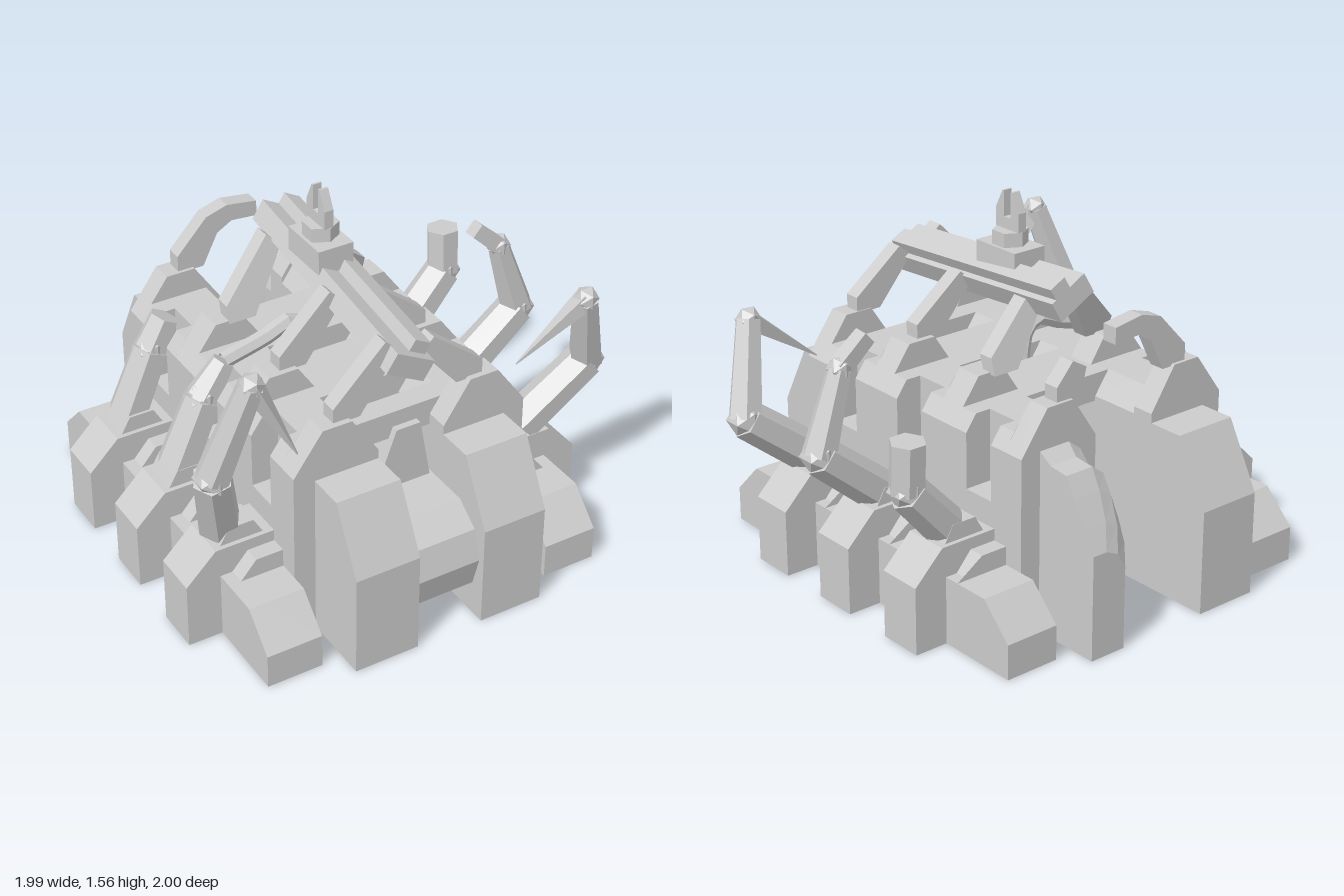
import * as THREE from 'three';

const MID = -0.077; // hull mirror plane
const mat = new THREE.MeshStandardMaterial({ color: 0xcccccc, flatShading: true });
const shellMat = new THREE.MeshStandardMaterial({ color: 0xcccccc, flatShading: true, side: THREE.DoubleSide });

export function createModel() {
  const model = new THREE.Group();

  const add = (name, geo, material = mat) => {
    const mesh = new THREE.Mesh(geo, material);
    mesh.name = name;
    model.add(mesh);
    return mesh;
  };
  const extrude = (pts, depth) => new THREE.ExtrudeGeometry(
    new THREE.Shape(pts.map(p => new THREE.Vector2(p[0], p[1]))), { depth, bevelEnabled: false });
  // Profile in (z, y), extruded across x
  const alongX = (name, pts, x0, x1) =>
    add(name, extrude(pts.map(([z, y]) => [-z, y]), x1 - x0).rotateY(Math.PI / 2).translate(x0, 0, 0));
  // Open-bottomed skin through sections [z, [(u, y)...]], u measured outward on side s
  const shell = (name, s, sections) => {
    const pos = [], index = [], n = sections[0][1].length;
    for (const [z, pts] of sections) for (const [u, y] of pts) pos.push(MID + s * u, y, z);
    for (let i = 0; i < sections.length - 1; i++) {
      for (let j = 0; j < n - 1; j++) {
        const a = i * n + j, b = a + 1, c = a + n, d = c + 1;
        if (s > 0) index.push(a, c, b, b, c, d);
        else index.push(a, b, c, b, d, c);
      }
    }
    const geo = new THREE.BufferGeometry();
    geo.setAttribute('position', new THREE.Float32BufferAttribute(pos, 3));
    geo.setIndex(index);
    const flat = geo.toNonIndexed();
    flat.computeVertexNormals();
    add(name, flat, shellMat);
  };
  const ground = pts => pts.map(([u]) => [u, 0]);
  // Tapered prism between two points
  const limb = (name, a, b, r0, r1, sides = 6) => {
    const A = new THREE.Vector3(...a), B = new THREE.Vector3(...b), d = B.clone().sub(A);
    const mesh = add(name, new THREE.CylinderGeometry(r1, r0, d.length(), sides).rotateY(Math.PI / sides));
    mesh.position.copy(A).add(B).multiplyScalar(0.5);
    mesh.quaternion.setFromUnitVectors(new THREE.Vector3(0, 1, 0), d.normalize());
  };

  const bayZ = [-0.43, 0, 0.43];
  const ribZ = [[-0.69, -0.59], [-0.28, -0.16], [0.16, 0.28], [0.59, 0.69]];

  // Hull sections
  const tall = [[0.15, 0], [0.15, 0.77], [0.27, 0.95], [0.40, 0.95], [0.53, 0.77], [0.53, 0.6], [0.53, 0]];
  const pilaster = [[0.15, 0], [0.15, 0.74], [0.22, 0.84], [0.48, 0.84], [0.53, 0.77], [0.53, 0.5], [0.53, 0]];
  const bay = [[0.15, 0], [0.15, 0.74], [0.22, 0.84], [0.41, 0.84], [0.41, 0.53], [0.53, 0.53], [0.53, 0]];
  const block = h => [[0.15, 0], [0.15, h], [0.17, h], [0.41, h], [0.436, h], [0.436, h / 2], [0.436, 0]];
  const bulge = (u, h) => [[u, 0], [u, h * 0.78], [u + 0.04, h * 0.94], [u + 0.1, h], [0.436, h], [0.436, h / 2], [0.436, 0]];

  // Skirt sections
  const low = h => [[0.53, 0], [0.53, h], [0.70, h], [0.773, h], [0.773, h / 2], [0.773, 0]];
  const step = [[0.53, 0], [0.53, 0.37], [0.65, 0.37], [0.72, 0.29], [0.773, 0.29], [0.773, 0]];
  const rib = [[0.53, 0], [0.53, 0.42], [0.79, 0.42], [0.923, 0.29], [0.923, 0.15], [0.923, 0]];

  for (const s of [1, -1]) {
    // Hull skin: rear block (bulged on the +x side), ribs and bays, front block
    const rearEnd = s > 0
      ? [[-1, ground(bulge(0.27, 0.45))], [-1, bulge(0.27, 0.45)], [-0.95, bulge(0.23, 0.545)],
        [-0.89, bulge(0.21, 0.65)], [-0.84, bulge(0.205, 0.73)], [-0.75, bulge(0.205, 0.74)], [-0.69, bulge(0.19, 0.78)]]
      : [[-1, ground(block(0.45))], [-1, block(0.45)], [-0.85, block(0.73)], [-0.69, block(0.73)]];
    const hull = [...rearEnd];
    ribZ.forEach(([z0, z1], i) => {
      hull.push([z0, tall], [z1, tall]);
      if (i < 3) {
        const end = ribZ[i + 1][0];
        hull.push([z1, pilaster], [z1 + 0.08, pilaster], [z1 + 0.08, bay],
          [end - 0.08, bay], [end - 0.08, pilaster], [end, pilaster]);
      }
    });
    hull.push([0.69, block(0.73)], [0.85, block(0.73)], [1, block(0.45)], [1, ground(block(0.45))]);
    shell('hull', s, hull);

    // Side skirt with stepped ribs
    const skirt = [[-0.9, ground(low(0.15))], [-0.9, low(0.15)], [-0.76, low(0.29)]];
    for (const z of bayZ)
      skirt.push([z - 0.17, low(0.29)], [z - 0.17, step], [z - 0.1, step], [z - 0.1, rib],
        [z + 0.1, rib], [z + 0.1, step], [z + 0.17, step], [z + 0.17, low(0.29)]);
    skirt.push([0.76, low(0.29)], [0.9, low(0.15)], [0.9, ground(low(0.15))]);
    shell('skirt', s, skirt);

    // Arm pedestals
    for (const z of bayZ)
      add('armPedestal', extrude([[0.57, 0.42], [0.76, 0.42], [0.72, 0.49], [0.61, 0.49]]
        .map(([u, y]) => [MID + s * u, y]), 0.16).translate(0, 0, z - 0.08));

    // Rafters to the ridge; the rear pair is a bent finger and a broken stub, one pair is skewed
    const peak = s > 0 ? 1.19 : 1.24;
    const rafter = [[0.34, 0.94], [0.34, 1.01], [0.11, peak], [0.05, peak - 0.05], [0.22, 0.94]];
    const finger = [[0.34, 0.94], [0.34, 1.02], [0.2, 1.17], [0.1, 1.2], [-0.04, 1.18], [-0.04, 1.11],
      [0.08, 1.12], [0.15, 1.08], [0.22, 0.94]];
    const stub = [[0.34, 0.94], [0.34, 1.01], [0.26, 1.1], [0.19, 1.06], [0.22, 0.94]];
    for (const z of [-0.64, -0.22, 0.22, 0.63]) {
      const pts = z !== -0.64 ? rafter : s < 0 ? finger : stub;
      const geo = extrude(pts.map(([u, y]) => [MID + s * u, y]), 0.07).translate(0, 0, z - 0.035);
      if (z === -0.22) {
        const p = geo.attributes.position;
        for (let i = 0; i < p.count; i++) p.setZ(i, p.getZ(i) - 0.01 + s * (p.getY(i) - 1.07) * 0.33);
        geo.computeVertexNormals();
      }
      add('rafter', geo);
    }
  }

  // Faceted nose between the hull halves, with a wall above it
  alongX('nose', [[0.5, 0.09], [0.82, 0.09], [0.93, 0.15], [0.97, 0.29], [0.93, 0.42], [0.82, 0.5], [0.5, 0.5]],
    -0.227, 0.073);
  add('frontWedge', extrude([[-0.2, 0.5], [0.06, 0.5], [0.01, 0.77], [-0.1, 0.77]], 0.1).translate(0, 0, 0.52));

  // Roof bridges, leaving open shafts between them
  for (const [z0, z1] of [[-0.36, -0.06], [0.06, 0.36], [0.49, 0.59]])
    add('roofBridge', extrude([[-0.227, 0.72], [0.073, 0.72], [0.073, 0.74], [0.143, 0.84], [-0.297, 0.84],
      [-0.227, 0.74]], z1 - z0).translate(0, 0, z0));

  // Sloping ridge beam, rolled about its length
  const beam = new THREE.Group();
  beam.name = 'ridgeBeam';
  for (const [name, w, h, len, x, y, z] of [
    ['beamBody', 0.19, 0.095, 1.13, 0, 0, 0], ['beamRail', 0.08, 0.06, 1.09, 0.03, 0.07, -0.02]]) {
    const m = new THREE.Mesh(new THREE.BoxGeometry(w, h, len), mat);
    m.name = name;
    m.position.set(x, y, z);
    beam.add(m);
  }
  beam.position.set(-0.08, 1.175, 0.155);
  beam.rotation.set(0.085, -0.045, -0.49);
  model.add(beam);

  // Turret and fork on the ridge
  add('turretBase', new THREE.BoxGeometry(0.16, 0.11, 0.24).translate(MID, 1.285, 0));
  add('turretCap', new THREE.CylinderGeometry(0.075, 0.075, 0.06, 6).translate(MID, 1.37, 0));
  alongX('fork', [[-0.07, 1.4], [-0.07, 1.48], [-0.03, 1.56], [-0.02, 1.56], [-0.02, 1.45],
    [0.02, 1.45], [0.02, 1.56], [0.03, 1.56], [0.07, 1.48], [0.07, 1.4]], -0.1, -0.06);

  // Jointed arms: list of joints, upper-arm end radius and tip radius
  const arms = [
    { pts: [[0.61, 0.44, 0.45], [0.92, 0.68, 0.48], [0.82, 1.06, 0.58], [0.51, 0.83, 0.55]], r: 0.055, tip: 0.003 },
    { pts: [[0.61, 0.44, 0], [0.9, 0.68, 0], [0.79, 1.02, 0], [0.67, 1.13, -0.01]], r: 0.05, tip: 0.045 },
    { pts: [[0.61, 0.44, -0.43], [0.81, 0.66, -0.44], [0.81, 0.87, -0.45]], r: 0.075 },
    { pts: [[-0.79, 0.45, 0.42], [-0.87, 0.78, 0.53], [-0.73, 1.2, 0.6], [-0.57, 0.86, 0.66]], r: 0.055, tip: 0.003 },
    { pts: [[-0.76, 0.46, 0], [-0.63, 0.75, 0], [-0.53, 0.89, 0]], r: 0.05 },
    { pts: [[-0.76, 0.46, -0.44], [-0.64, 0.74, -0.44], [-0.57, 0.87, -0.44]], r: 0.065 }
  ];
  for (const { pts, r, tip } of arms) {
    limb('lowerArm', pts[0], pts[1], 0.09, 0.082);
    limb('upperArm', pts[1], pts[2], 0.075, r);
    add('elbow', new THREE.IcosahedronGeometry(0.08, 0).translate(...pts[1]));
    if (pts[3]) {
      add('wrist', new THREE.IcosahedronGeometry(0.055, 0).translate(...pts[2]));
      limb('claw', pts[2], pts[3], 0.05, tip, 4);
    }
  }

  // Hooked claw of the middle -x arm
  const path = new THREE.CatmullRomCurve3([[-0.53, 0.89, 0], [-0.33, 0.94, 0], [-0.22, 0.98, 0],
    [-0.16, 0.93, 0], [-0.14, 0.82, 0]].map(q => new THREE.Vector3(...q)));
  add('hookedClaw', new THREE.TubeGeometry(path, 10, 0.035, 6), shellMat);

  return model;
}
